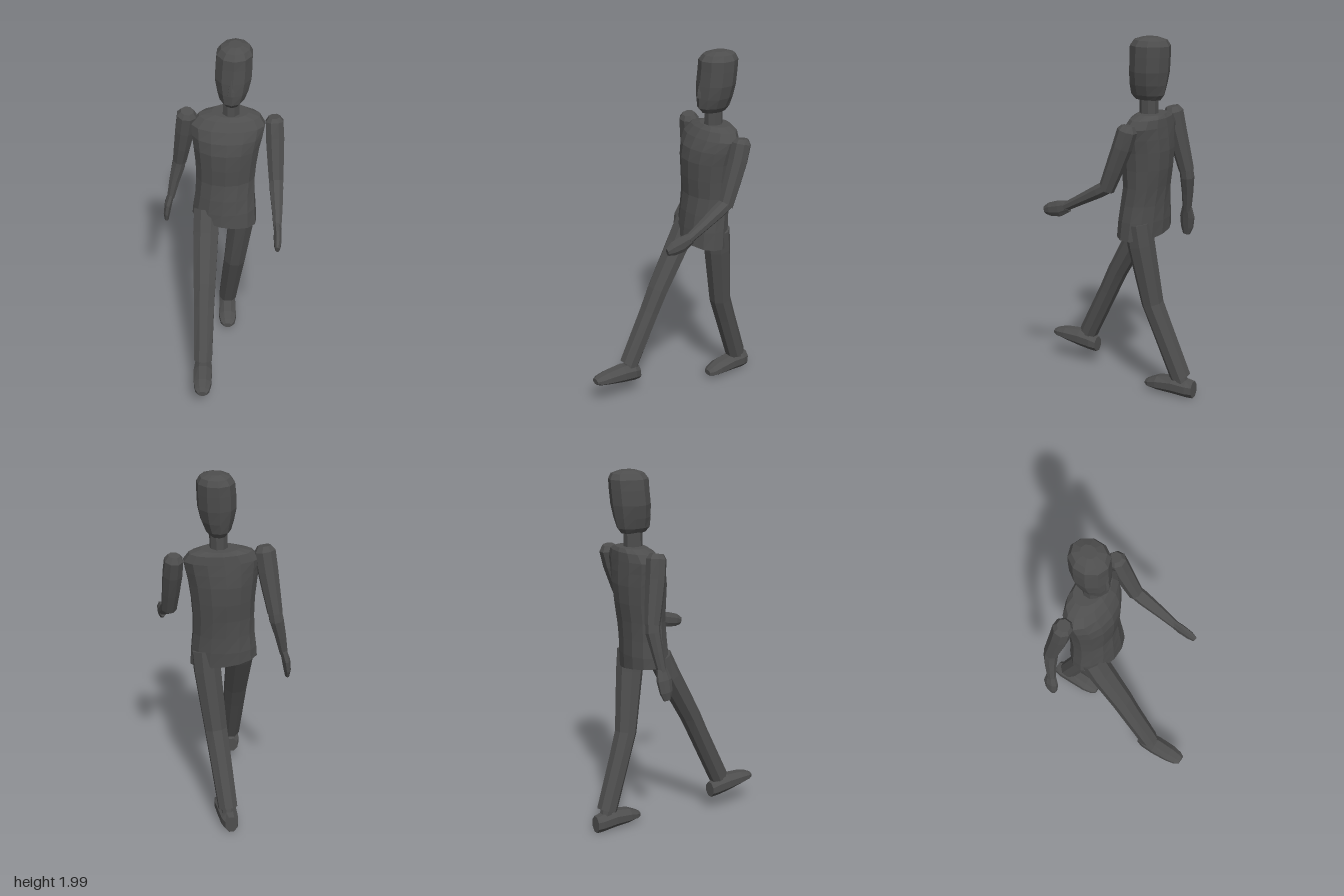
import * as THREE from 'three';

const charcoal = new THREE.MeshStandardMaterial({ color: 0x4e4e4e, flatShading: true });

// Skins a chain of elliptical rings [x, y, z, halfWidth, halfDepth, yaw] into a closed faceted solid.
// With no fixed axis, each ring is set square to the path. tilt slopes the first ring sideways.
function loft(name, rings, { sides = 8, axis = null, tilt = 0 } = {}) {
  const centres = rings.map(r => new THREE.Vector3(r[0], r[1], r[2]));
  const pos = [], index = [], last = rings.length - 1;
  rings.forEach((r, i) => {
    const t = axis ? axis.clone()
      : centres[Math.min(i + 1, last)].clone().sub(centres[Math.max(i - 1, 0)]).normalize();
    const u = new THREE.Vector3(1, 0, 0).addScaledVector(t, -t.x).normalize();
    u.applyAxisAngle(t, r[5] || 0);
    const v = t.clone().cross(u);
    for (let j = 0; j < sides; j++) {
      const a = (j + 0.5) / sides * Math.PI * 2;
      const k = 1 / Math.cos(Math.PI / sides);   // flats reach the stated half sizes
      const p = centres[i].clone()
        .addScaledVector(u, Math.cos(a) * r[3] * k)
        .addScaledVector(v, Math.sin(a) * r[4] * k);
      if (i === 0) p.y -= tilt * (p.x - r[0]);
      pos.push(p.x, p.y, p.z);
    }
  });
  for (let i = 0; i < last; i++) {
    for (let j = 0; j < sides; j++) {
      const n = (j + 1) % sides;
      const a = i * sides + j, b = i * sides + n, c = b + sides, d = a + sides;
      index.push(a, b, c, a, c, d);
    }
  }
  for (let j = 1; j < sides - 1; j++) {
    index.push(0, j + 1, j);
    index.push(last * sides, last * sides + j, last * sides + j + 1);
  }
  let geo = new THREE.BufferGeometry();
  geo.setAttribute('position', new THREE.Float32BufferAttribute(pos, 3));
  geo.setIndex(index);
  geo = geo.toNonIndexed();
  geo.computeVertexNormals();
  const mesh = new THREE.Mesh(geo, charcoal);
  mesh.name = name;
  return mesh;
}

function part(name, ...children) {
  const g = new THREE.Group();
  g.name = name;
  g.add(...children);
  return g;
}

export function createModel() {
  const up = new THREE.Vector3(0, 1, 0), forward = new THREE.Vector3(0, 0, 1);
  const model = new THREE.Group();
  model.name = 'walkingFigure';

  // Torso, hips turned slightly against the shoulders
  model.add(loft('torso', [
    [0.01, 0.93, -0.17, 0.18, 0.12, -0.12],
    [0.01, 1.01, -0.175, 0.175, 0.12, -0.1],
    [0.012, 1.1, -0.18, 0.165, 0.117, -0.06],
    [0.015, 1.2, -0.19, 0.163, 0.115],
    [0.018, 1.3, -0.193, 0.168, 0.126],
    [0.02, 1.4, -0.195, 0.18, 0.13],
    [0.024, 1.47, -0.2, 0.192, 0.122],
    [0.028, 1.53, -0.212, 0.2, 0.105],
    [0.035, 1.575, -0.225, 0.165, 0.088],
    [0.04, 1.595, -0.23, 0.1, 0.072],
  ], { sides: 14, axis: up, tilt: 0.13 }));

  // Neck, head and nose
  model.add(loft('neck', [
    [0.043, 1.56, -0.215, 0.045, 0.048],
    [0.046, 1.7, -0.215, 0.045, 0.048],
  ], { axis: up }));
  model.add(loft('head', [
    [0.048, 1.668, -0.212, 0.045, 0.07],
    [0.048, 1.695, -0.21, 0.065, 0.092],
    [0.052, 1.75, -0.215, 0.083, 0.1],
    [0.054, 1.82, -0.222, 0.097, 0.105],
    [0.058, 1.9, -0.228, 0.097, 0.105],
    [0.061, 1.955, -0.23, 0.094, 0.106],
    [0.064, 1.985, -0.233, 0.075, 0.088],
    [0.064, 2, -0.235, 0.035, 0.042],
  ], { sides: 10, axis: up }));
  model.add(loft('nose', [
    [0.045, 1.755, -0.12, 0.018, 0.016],
    [0.046, 1.78, -0.122, 0.016, 0.016],
    [0.048, 1.85, -0.125, 0.008, 0.008],
  ], { sides: 6, axis: up }));

  // Left arm, swung forward
  model.add(part('leftArm',
    loft('leftUpperArm', [
      [0.278, 1.566, -0.225, 0.03, 0.032],
      [0.28, 1.54, -0.222, 0.048, 0.05],
      [0.285, 1.45, -0.195, 0.05, 0.05],
      [0.291, 1.33, -0.15, 0.045, 0.046],
      [0.297, 1.215, -0.105, 0.039, 0.04],
    ]),
    loft('leftForearm', [
      [0.297, 1.235, -0.12, 0.036, 0.036],
      [0.299, 1.2, -0.06, 0.037, 0.036],
      [0.304, 1.14, 0.05, 0.029, 0.029],
      [0.306, 1.085, 0.15, 0.021, 0.024],
    ]),
    loft('leftHand', [
      [0.306, 1.09, 0.13, 0.018, 0.03],
      [0.307, 1.07, 0.19, 0.021, 0.043],
      [0.307, 1.058, 0.25, 0.019, 0.036],
      [0.306, 1.048, 0.285, 0.011, 0.02],
    ])));

  // Right arm, hanging back
  model.add(part('rightArm',
    loft('rightUpperArm', [
      [-0.195, 1.592, -0.225, 0.034, 0.034],
      [-0.198, 1.565, -0.23, 0.053, 0.05],
      [-0.212, 1.46, -0.245, 0.052, 0.05],
      [-0.23, 1.34, -0.268, 0.045, 0.046],
      [-0.247, 1.23, -0.29, 0.038, 0.04],
    ]),
    loft('rightForearm', [
      [-0.243, 1.255, -0.288, 0.035, 0.035],
      [-0.255, 1.19, -0.292, 0.037, 0.037],
      [-0.28, 1.09, -0.282, 0.029, 0.03],
      [-0.303, 0.98, -0.268, 0.021, 0.023],
    ]),
    loft('rightHand', [
      [-0.3, 1, -0.27, 0.018, 0.028],
      [-0.317, 0.94, -0.264, 0.021, 0.042],
      [-0.327, 0.875, -0.258, 0.018, 0.036],
      [-0.329, 0.832, -0.253, 0.011, 0.02],
    ])));

  // Left leg, trailing
  model.add(part('leftLeg',
    loft('leftLegLimb', [
      [0.113, 1.0, -0.19, 0.072, 0.072],
      [0.105, 0.88, -0.207, 0.071, 0.07],
      [0.068, 0.54, -0.26, 0.06, 0.056],
      [0.053, 0.4, -0.312, 0.057, 0.054],
      [0.025, 0.118, -0.418, 0.051, 0.054],
    ]),
    loft('leftFoot', [
      [0.017, 0.053, -0.498, 0.035, 0.047],
      [0.02, 0.056, -0.46, 0.046, 0.049],
      [0.024, 0.063, -0.38, 0.051, 0.05],
      [0.028, 0.056, -0.28, 0.052, 0.04],
      [0.03, 0.047, -0.23, 0.042, 0.026],
      [0.03, 0.045, -0.206, 0.026, 0.015],
    ], { axis: forward }),
    loft('leftAnkle', [
      [0.024, 0.075, -0.43, 0.034, 0.034],
      [0.026, 0.15, -0.41, 0.034, 0.034],
    ], { axis: up })));

  // Right leg, stepping out with the toe raised
  model.add(part('rightLeg',
    loft('rightLegLimb', [
      [-0.09, 1.0, -0.14, 0.07, 0.06],
      [-0.093, 0.88, -0.08, 0.071, 0.058],
      [-0.096, 0.62, 0.065, 0.062, 0.052],
      [-0.098, 0.5, 0.122, 0.058, 0.05],
      [-0.1, 0.205, 0.267, 0.051, 0.051],
    ]),
    loft('rightFoot', [
      [-0.1, 0.134, 0.207, 0.035, 0.042],
      [-0.1, 0.146, 0.245, 0.048, 0.05],
      [-0.1, 0.157, 0.32, 0.053, 0.05],
      [-0.098, 0.163, 0.42, 0.05, 0.037],
      [-0.097, 0.162, 0.475, 0.04, 0.026],
      [-0.096, 0.162, 0.5, 0.026, 0.015],
    ], { axis: forward }),
    loft('rightAnkle', [
      [-0.1, 0.15, 0.275, 0.034, 0.034],
      [-0.1, 0.24, 0.25, 0.034, 0.034],
    ], { axis: up })));

  return model;
}
